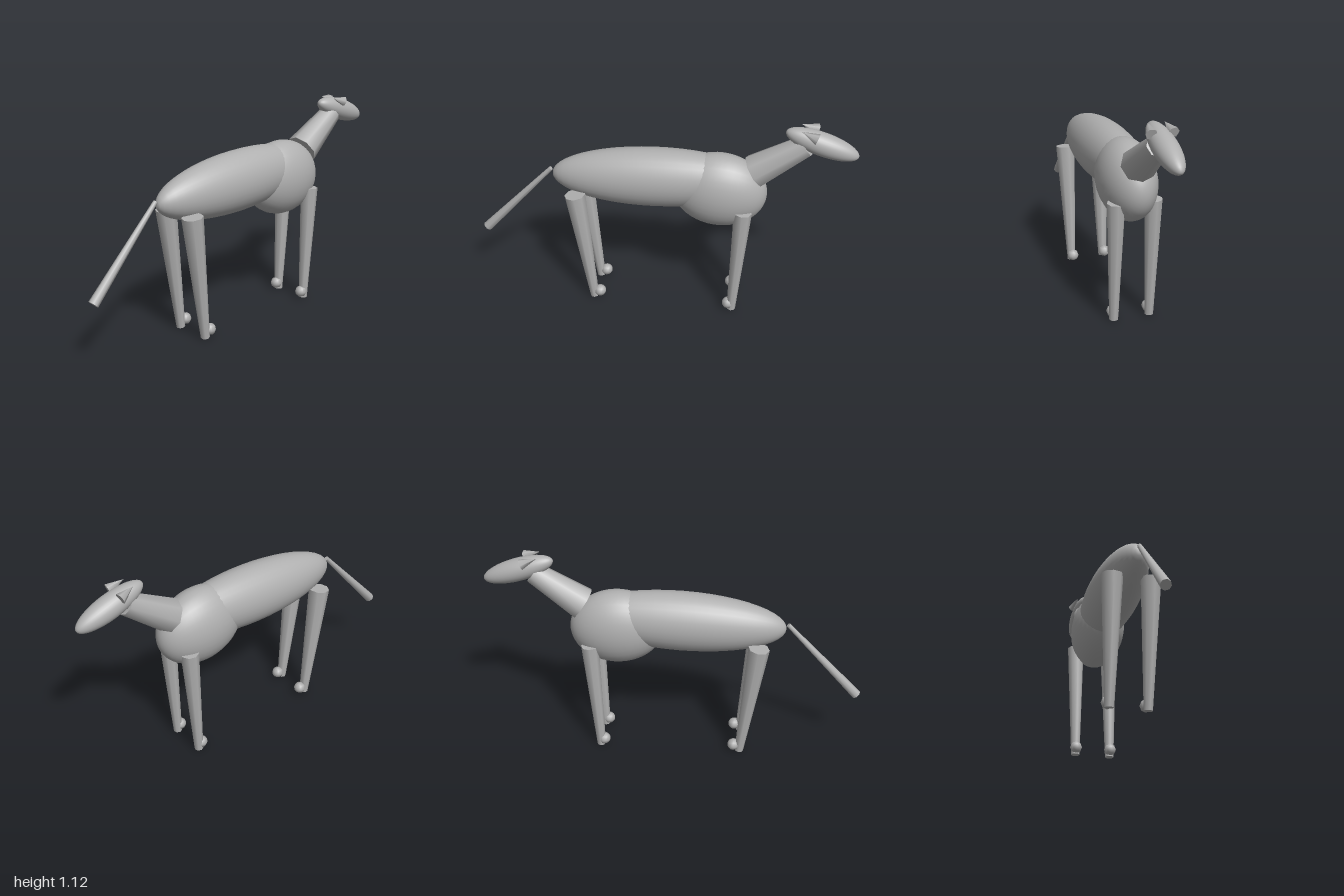
import * as THREE from 'three';

export function createModel() {
  const model = new THREE.Group();
  model.name = 'horse';
  const clay = new THREE.MeshStandardMaterial({ color: 0xb0b0b0 });
  clay.name = 'clay grey';
  const up = new THREE.Vector3(0, 1, 0);

  const add = (name, geometry) => {
    const mesh = new THREE.Mesh(geometry, clay);
    mesh.name = name;
    model.add(mesh);
    return mesh;
  };

  // Ellipsoid with its poles along its length, tilted in the side plane
  const ellipsoid = (name, [x, y, z], [a, b, c], tilt = 0, sides = 32, rings = 24) => {
    const geometry = new THREE.SphereGeometry(1, sides, rings);
    geometry.rotateZ(-Math.PI / 2).scale(a, b, c);
    const mesh = add(name, geometry);
    mesh.position.set(x, y, z);
    mesh.rotation.z = tilt;
  };

  // Tapered limb between two points
  const limb = (name, from, to, r0, r1, sides = 8) => {
    const p = new THREE.Vector3(...from);
    const q = new THREE.Vector3(...to);
    const dir = q.clone().sub(p);
    const mesh = add(name, new THREE.CylinderGeometry(r1, r0, dir.length(), sides));
    mesh.position.copy(p).add(q).multiplyScalar(0.5);
    mesh.quaternion.setFromUnitVectors(up, dir.normalize());
  };

  // Trunk, neck, head and tail
  ellipsoid('body', [-0.03, 0.77, 0], [0.55, 0.163, 0.137], 0.045);
  ellipsoid('chest', [0.31, 0.725, 0], [0.25, 0.207, 0.145], -0.08);
  limb('neck', [0.487, 0.853, 0], [0.735, 1.025, 0], 0.09, 0.058);
  ellipsoid('head', [0.812, 1.038, 0], [0.193, 0.06, 0.06], -0.31);
  limb('tail', [-0.588, 0.77, 0], [-0.982, 0.35, 0], 0.012, 0.027);

  for (const [side, s] of [['left', -1], ['right', 1]]) {
    // Ears lie back along the head
    limb(`${side}Ear`, [0.783, 1.092, s * 0.052], [0.702, 1.122, s * 0.04], 0.029, 0, 6);

    // Legs with small ball feet
    limb(`${side}FrontLeg`, [0.445, 0.655, s * 0.097], [0.412, 0.005, s * 0.096], 0.047, 0.024);
    limb(`${side}HindLeg`, [-0.44, 0.68, s * 0.1], [-0.361, 0.005, s * 0.096], 0.056, 0.024);
    ellipsoid(`${side}FrontFoot`, [0.394, 0.042, s * 0.096], [0.033, 0.033, 0.033], 0, 8, 8);
    ellipsoid(`${side}HindFoot`, [-0.329, 0.042, s * 0.096], [0.033, 0.033, 0.033], 0, 8, 8);
  }
  return model;
}
